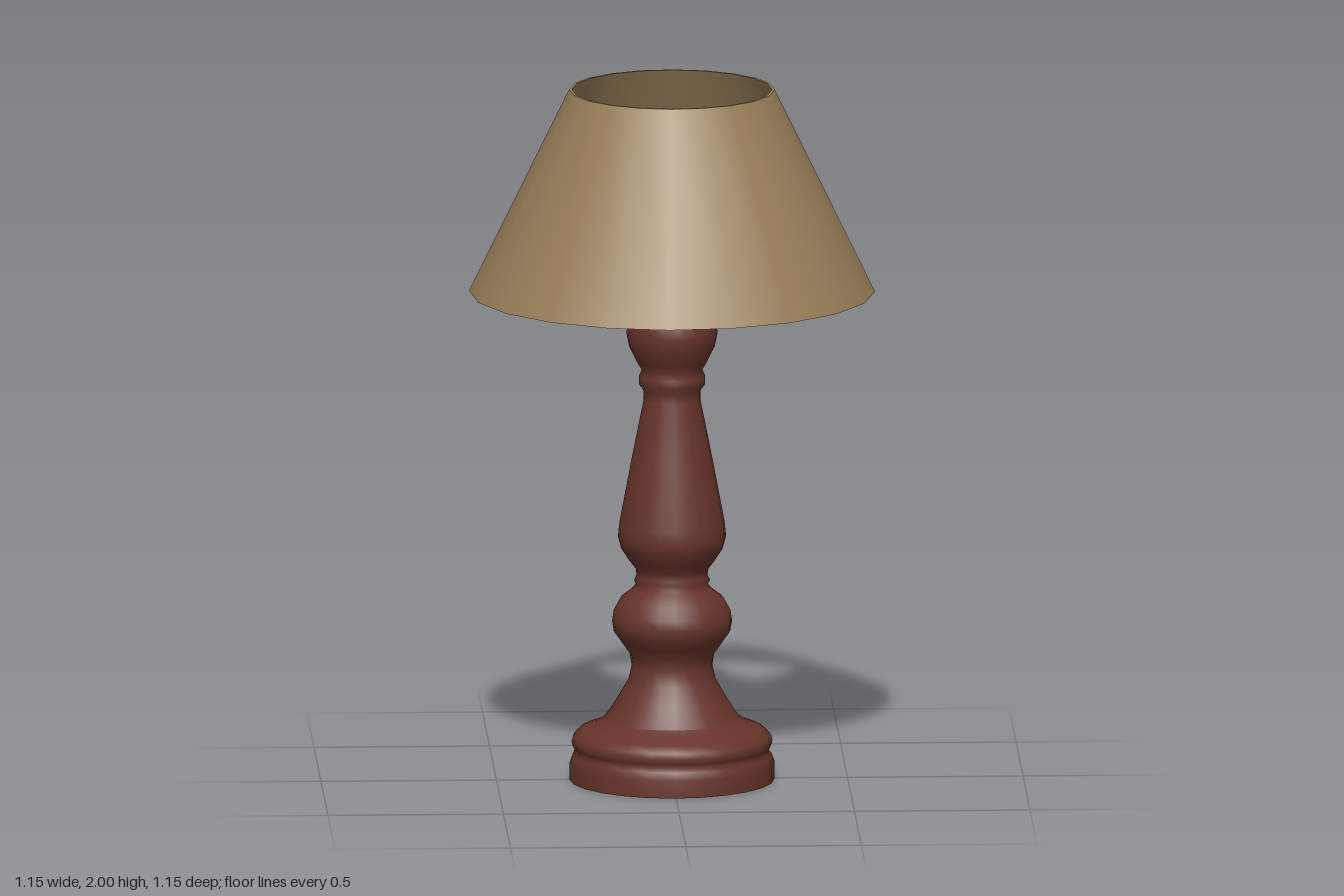
import * as THREE from 'three';

const SIDES = 24;
const SHADE_SIDES = 20;

function lathe(points, segments, material, name, start = 0) {
  const profile = points.map(([r, y]) => new THREE.Vector2(r, y));
  const mesh = new THREE.Mesh(new THREE.LatheGeometry(profile, segments, start), material);
  mesh.name = name;
  return mesh;
}

export function createModel() {
  const wood = new THREE.MeshStandardMaterial({ color: 0x66332a });
  wood.name = 'red brown wood';
  const cloth = new THREE.MeshStandardMaterial({ color: 0x987e58 });
  cloth.name = 'tan cloth';

  const lamp = new THREE.Group();
  lamp.name = 'tableLamp';

  // Stepped round foot
  lamp.add(lathe([
    [0.292, 0], [0.292, 0.05], [0.284, 0.072], [0.274, 0.083], [0.282, 0.095],
    [0.286, 0.11], [0.282, 0.127], [0.262, 0.145], [0.22, 0.16], [0.195, 0.178],
  ], SIDES, wood, 'foot'));

  const underside = new THREE.Mesh(new THREE.CircleGeometry(0.292, SIDES), wood);
  underside.name = 'footUnderside';
  underside.rotation.set(Math.PI / 2, 0, Math.PI / 2);
  lamp.add(underside);

  // Turned column: lower knob, tapered shaft, upper knob
  lamp.add(lathe([
    [0.195, 0.178], [0.178, 0.2], [0.15, 0.245], [0.124, 0.29], [0.115, 0.33], [0.12, 0.365],
    [0.145, 0.4], [0.166, 0.43], [0.171, 0.46], [0.166, 0.49], [0.147, 0.525],
    [0.115, 0.55], [0.103, 0.565], [0.108, 0.578], [0.101, 0.59], [0.103, 0.61],
    [0.122, 0.635], [0.145, 0.67], [0.154, 0.705], [0.15, 0.745],
    [0.115, 0.93], [0.081, 1.1], [0.082, 1.13], [0.094, 1.145], [0.094, 1.17],
    [0.086, 1.188], [0.1, 1.21], [0.122, 1.255], [0.13, 1.295], [0.124, 1.335],
    [0.1, 1.378], [0.086, 1.41], [0.085, 1.43],
  ], SIDES, wood, 'column'));

  // Flared socket hidden inside the shade
  lamp.add(lathe([
    [0.085, 1.43], [0.095, 1.455], [0.122, 1.485], [0.132, 1.515], [0.132, 1.535],
    [0.15, 1.56], [0.178, 1.59], [0.185, 1.62], [0.178, 1.65], [0.155, 1.68],
    [0.13, 1.71], [0.105, 1.745], [0.085, 1.765], [0, 1.77],
  ], SIDES, wood, 'socket'));

  // Bulb
  const bulb = new THREE.Mesh(new THREE.SphereGeometry(0.093, 24, 16), cloth);
  bulb.name = 'bulb';
  bulb.position.y = 1.84;
  lamp.add(bulb);

  // Shade: outer and inner walls joined by thin rims
  const start = -0.052;
  const outerLow = [0.578, 1.415], outerHigh = [0.293, 2];
  const innerLow = [0.57, 1.415], innerHigh = [0.285, 2];
  lamp.add(
    lathe([outerLow, outerHigh], SHADE_SIDES, cloth, 'shadeOuter', start),
    lathe([innerHigh, innerLow], SHADE_SIDES, cloth, 'shadeInner', start),
    lathe([outerHigh, innerHigh], SHADE_SIDES, cloth, 'shadeTopRim', start),
    lathe([innerLow, outerLow], SHADE_SIDES, cloth, 'shadeBottomRim', start),
  );

  return lamp;
}
